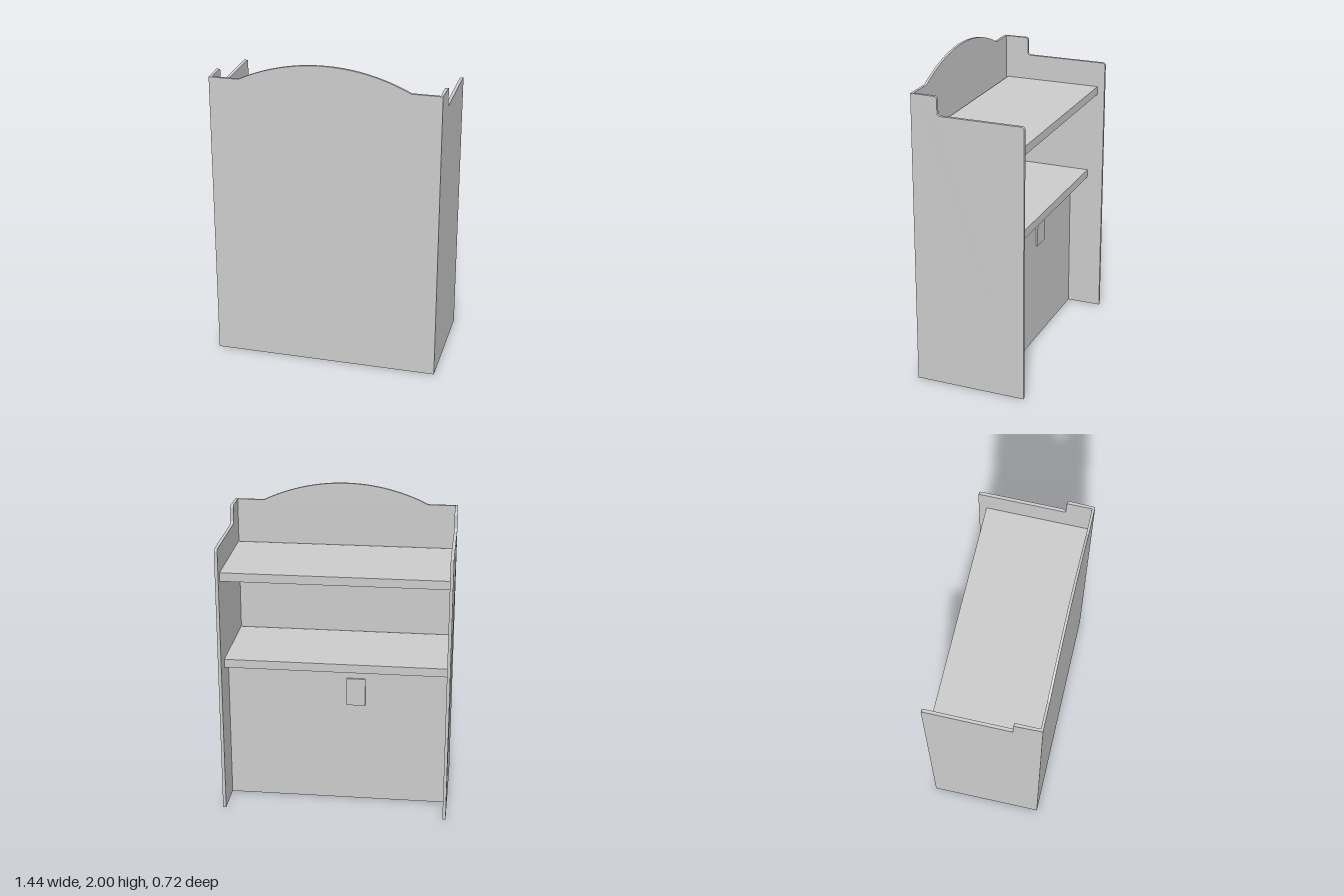
import * as THREE from 'three';

const HALF = 0.722;      // half width over the side panels
const INNER = 0.702;     // half width between the side panels
const FRONT_IN = 0.342;  // inner face of the front panel
const FRONT_OUT = 0.358;
const BACK = -0.358;

export function createModel() {
  const group = new THREE.Group();
  group.name = 'counter';
  const material = new THREE.MeshStandardMaterial({ color: 0xcccccc });

  const add = (name, geometry) => {
    const mesh = new THREE.Mesh(geometry, material);
    mesh.name = name;
    group.add(mesh);
    return mesh;
  };

  // Box given by its extents on each axis
  const block = (name, [x0, x1], [y0, y1], [z0, z1]) =>
    add(name, new THREE.BoxGeometry(x1 - x0, y1 - y0, z1 - z0))
      .position.set((x0 + x1) / 2, (y0 + y1) / 2, (z0 + z1) / 2);

  // Front panel with an arched crest
  const w = 0.718, shoulder = 1.875, archHalf = 0.53, rise = 0.125;
  const radius = (archHalf ** 2 + rise ** 2) / (2 * rise);
  const angle = Math.asin(archHalf / radius);
  const front = new THREE.Shape();
  front.moveTo(-w, 0);
  front.lineTo(w, 0);
  front.lineTo(w, shoulder);
  front.lineTo(archHalf, shoulder);
  front.absarc(0, 2 - radius, radius, Math.PI / 2 - angle, Math.PI / 2 + angle, false);
  front.lineTo(-w, shoulder);
  front.closePath();
  const frontGeometry = new THREE.ExtrudeGeometry(front, {
    depth: FRONT_OUT - FRONT_IN, bevelEnabled: false, curveSegments: 32,
  });
  add('frontPanel', frontGeometry.translate(0, 0, FRONT_IN));

  // Side panels: stepped profile with rounded corners, drawn in z and y
  const step = 0.187, low = 1.757, r = 0.02;
  const side = new THREE.Shape();
  side.moveTo(BACK, 0);
  side.lineTo(FRONT_IN, 0);
  side.lineTo(FRONT_IN, shoulder);
  side.lineTo(step + r, shoulder);
  side.quadraticCurveTo(step, shoulder, step, shoulder - r);
  side.lineTo(step, low + r);
  side.quadraticCurveTo(step, low, step - r, low);
  side.lineTo(BACK + r, low);
  side.quadraticCurveTo(BACK, low, BACK, low - r);
  side.closePath();
  for (const [name, x] of [['leftPanel', HALF], ['rightPanel', -INNER]]) {
    const geometry = new THREE.ExtrudeGeometry(side, {
      depth: HALF - INNER, bevelEnabled: false, curveSegments: 6,
    });
    geometry.rotateY(-Math.PI / 2).translate(x, 0, 0);
    // The outer face draws in slightly to meet the front panel
    const p = geometry.attributes.position;
    for (let i = 0; i < p.count; i++) {
      if (Math.abs(p.getX(i)) > HALF - 0.001 && p.getZ(i) > FRONT_IN - 0.001) {
        p.setX(i, Math.sign(p.getX(i)) * w);
      }
    }
    geometry.computeVertexNormals();
    add(name, geometry);
  }

  // Shelves and the closed cabinet under the lower shelf
  const span = [-INNER, INNER];
  block('upperShelf', span, [1.538, 1.593], [-0.31, 0.33]);
  block('lowerShelf', span, [0.943, 0.998], [-0.252, 0.33]);
  block('cabinet', span, [0, 0.943], [-0.13, 0.33]);

  // Small plate on the rear face of the cabinet
  block('wallPlate', [-0.18, -0.06], [0.672, 0.855], [-0.142, -0.13]);

  return group;
}
